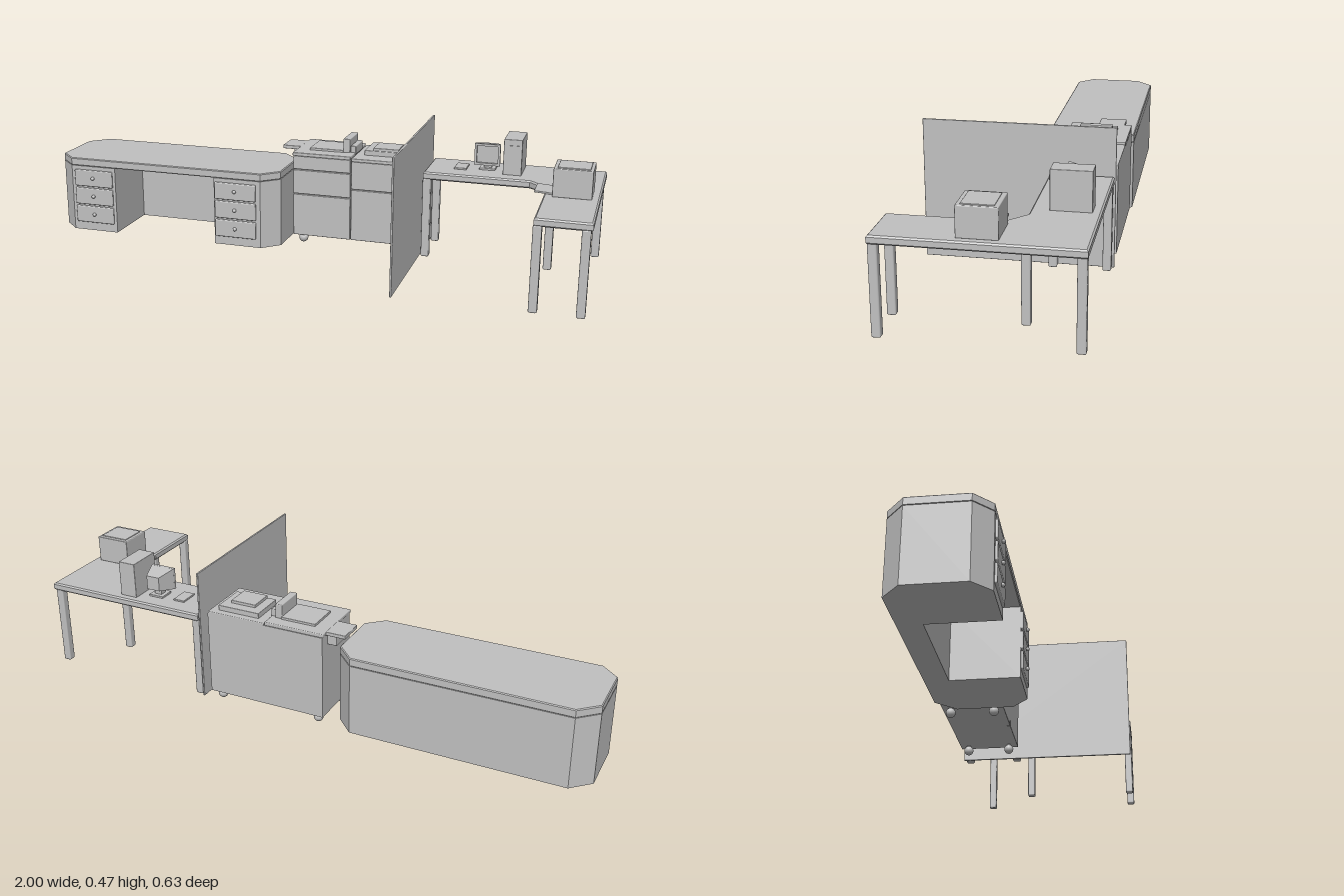
import * as THREE from 'three';
import { RoundedBoxGeometry } from 'three/addons/geometries/RoundedBoxGeometry.js';

export function createModel() {
  const model = new THREE.Group();
  const grey = new THREE.MeshStandardMaterial({ color: 0xc0c0c0 });
  grey.name = 'light grey';

  function group(name) {
    const g = new THREE.Group();
    g.name = name;
    model.add(g);
    return g;
  }
  function add(parent, name, geometry) {
    const mesh = new THREE.Mesh(geometry, grey);
    mesh.name = name;
    parent.add(mesh);
    return mesh;
  }
  // Box given by its limits on each axis, with optional softened edges
  function box(parent, name, [x0, x1], [y0, y1], [z0, z1], r = 0) {
    const size = [x1 - x0, y1 - y0, z1 - z0];
    const geo = r ? new RoundedBoxGeometry(...size, 2, r) : new THREE.BoxGeometry(...size);
    geo.translate((x0 + x1) / 2, (y0 + y1) / 2, (z0 + z1) / 2);
    return add(parent, name, geo);
  }
  // Upright prism from an x/z outline, with a small bevel b
  function prism(parent, name, outline, y0, y1, b = 0) {
    const shape = new THREE.Shape(outline.map(([x, z]) => new THREE.Vector2(x, z)));
    const geo = new THREE.ExtrudeGeometry(shape, {
      depth: y1 - y0 - 2 * b, bevelEnabled: b > 0, bevelSize: b,
      bevelThickness: b, bevelOffset: -b, bevelSegments: 1,
    });
    geo.rotateX(Math.PI / 2).translate(0, y1 - b, 0);
    return add(parent, name, geo);
  }

  // Reception desk: clipped corners, kneehole open at the front
  const desk = group('drawerDesk');
  const back = [[-0.125, -0.06], [-0.125, -0.25], [-0.19, -0.315], [-0.935, -0.315], [-1, -0.255], [-1, -0.06], [-0.94, -0.005]];
  const front = [-0.185, -0.005];
  prism(desk, 'deskTop', [...back, front], 0.255, 0.284, 0.003);
  prism(desk, 'deskBody', [...back, [-0.762, -0.005], [-0.762, -0.235], [-0.364, -0.235], [-0.364, -0.005], front], 0.004, 0.255);
  for (const [x0, x1] of [[-0.927, -0.773], [-0.36, -0.202]]) {
    for (const [y0, y1] of [[0.178, 0.241], [0.107, 0.171], [0.036, 0.1]]) {
      box(desk, 'deskDrawer', [x0, x1], [y0, y1], [-0.02, 0.003], 0.004);
      const knob = add(desk, 'drawerKnob', new THREE.SphereGeometry(0.007, 12, 8));
      knob.position.set((x0 + x1) / 2, (y0 + y1) / 2 + 0.002, 0.007);
    }
  }

  // Rolling cabinet
  const cabinet = group('rollingCabinet');
  box(cabinet, 'cabinetBody', [-0.092, 0.342], [0.036, 0.335], [-0.315, -0.115]);
  box(cabinet, 'cabinetLeftTop', [-0.094, 0.123], [0.335, 0.348], [-0.315, -0.102], 0.003);
  box(cabinet, 'cabinetRightTop', [0.126, 0.342], [0.33, 0.342], [-0.315, -0.102], 0.003);
  const fronts = [
    [-0.092, 0.123, [0.036, 0.194, 0.286, 0.338]],
    [0.126, 0.342, [0.036, 0.228, 0.333]],
  ];
  for (const [x0, x1, levels] of fronts) {
    for (let i = 0; i + 1 < levels.length; i++) {
      box(cabinet, 'cabinetFront', [x0, x1], [levels[i], levels[i + 1] - 0.003], [-0.12, -0.104], 0.002);
    }
  }
  for (const x of [-0.062, 0.313]) {
    for (const z of [-0.285, -0.135]) {
      const wheel = add(cabinet, 'casterWheel', new THREE.SphereGeometry(0.017, 16, 10));
      wheel.position.set(x, 0.018, z);
      const stem = add(cabinet, 'casterStem', new THREE.CylinderGeometry(0.007, 0.007, 0.015, 10));
      stem.position.set(x, 0.034, z);
    }
  }
  // Side shelf with its hook bracket
  box(cabinet, 'sideShelf', [-0.163, -0.088], [0.334, 0.347], [-0.29, -0.198], 0.002);
  box(cabinet, 'shelfBracket', [-0.125, -0.09], [0.295, 0.334], [-0.275, -0.213], 0.002);
  // Reader with an upright back block
  box(cabinet, 'readerPlate', [-0.045, 0.082], [0.346, 0.356], [-0.272, -0.155], 0.002);
  box(cabinet, 'readerBlock', [0.08, 0.106], [0.346, 0.398], [-0.268, -0.158], 0.003);
  box(cabinet, 'readerStep', [0.106, 0.126], [0.34, 0.372], [-0.26, -0.165], 0.003);
  // Framed device on the right half
  box(cabinet, 'deviceBase', [0.158, 0.313], [0.34, 0.36], [-0.29, -0.165], 0.002);
  box(cabinet, 'deviceLid', [0.19, 0.283], [0.358, 0.37], [-0.255, -0.167], 0.002);

  // Free-standing partition
  box(model, 'partition', [0.374, 0.381], [0.003, 0.473], [-0.313, 0.313], 0.002);

  // Corner table with five legs
  const table = group('cornerTable');
  prism(table, 'tableTop', [[0.387, -0.309], [1, -0.309], [1, 0.306], [0.82, 0.306], [0.82, -0.045], [0.757, -0.102], [0.387, -0.102]], 0.288, 0.315, 0.005);
  for (const [x, z] of [[0.4, -0.292], [0.4, -0.116], [0.832, -0.11], [0.98, -0.292], [0.832, 0.292], [0.98, 0.292]]) {
    box(table, 'tableLeg', [x - 0.014, x + 0.014], [0.003, 0.292], [z - 0.014, z + 0.014], 0.005);
  }

  // Computer: tapered monitor housing, stand, tower and keyboard
  const computer = group('computer');
  const housing = box(computer, 'monitorHousing', [0.551, 0.641], [0.334, 0.411], [-0.262, -0.196]);
  const p = housing.geometry.attributes.position;
  for (let i = 0; i < p.count; i++) {
    if (p.getZ(i) < -0.23) {
      p.setX(i, 0.596 + (p.getX(i) - 0.596) * 0.55);
      p.setY(i, 0.373 + (p.getY(i) - 0.373) * 0.65);
    }
  }
  housing.geometry.computeVertexNormals();
  for (const [x, y] of [[[0.551, 0.559], [0.334, 0.411]], [[0.633, 0.641], [0.334, 0.411]], [[0.559, 0.633], [0.334, 0.342]], [[0.559, 0.633], [0.403, 0.411]]]) {
    box(computer, 'screenFrame', x, y, [-0.197, -0.187]);
  }
  box(computer, 'monitorNeck', [0.582, 0.61], [0.32, 0.345], [-0.235, -0.21]);
  box(computer, 'monitorFoot', [0.568, 0.624], [0.314, 0.322], [-0.25, -0.195], 0.002);
  box(computer, 'keyboard', [0.483, 0.526], [0.314, 0.321], [-0.245, -0.175], 0.002);
  box(computer, 'tower', [0.656, 0.72], [0.314, 0.441], [-0.283, -0.157], 0.002);
  box(computer, 'towerDriveSlot', [0.666, 0.71], [0.405, 0.42], [-0.16, -0.154]);

  // Printer with a paper tray over the table edge
  const printer = group('printer');
  box(printer, 'printerBody', [0.848, 0.975], [0.314, 0.41], [-0.061, 0.061], 0.003);
  box(printer, 'printerLid', [0.86, 0.965], [0.406, 0.413], [-0.048, 0.048], 0.002);
  const tray = box(printer, 'paperTray', [-0.032, 0.032], [-0.003, 0.003], [-0.046, 0.046], 0.001);
  tray.position.set(0.82, 0.32, -0.006);
  tray.rotation.z = -0.06;

  return model;
}
